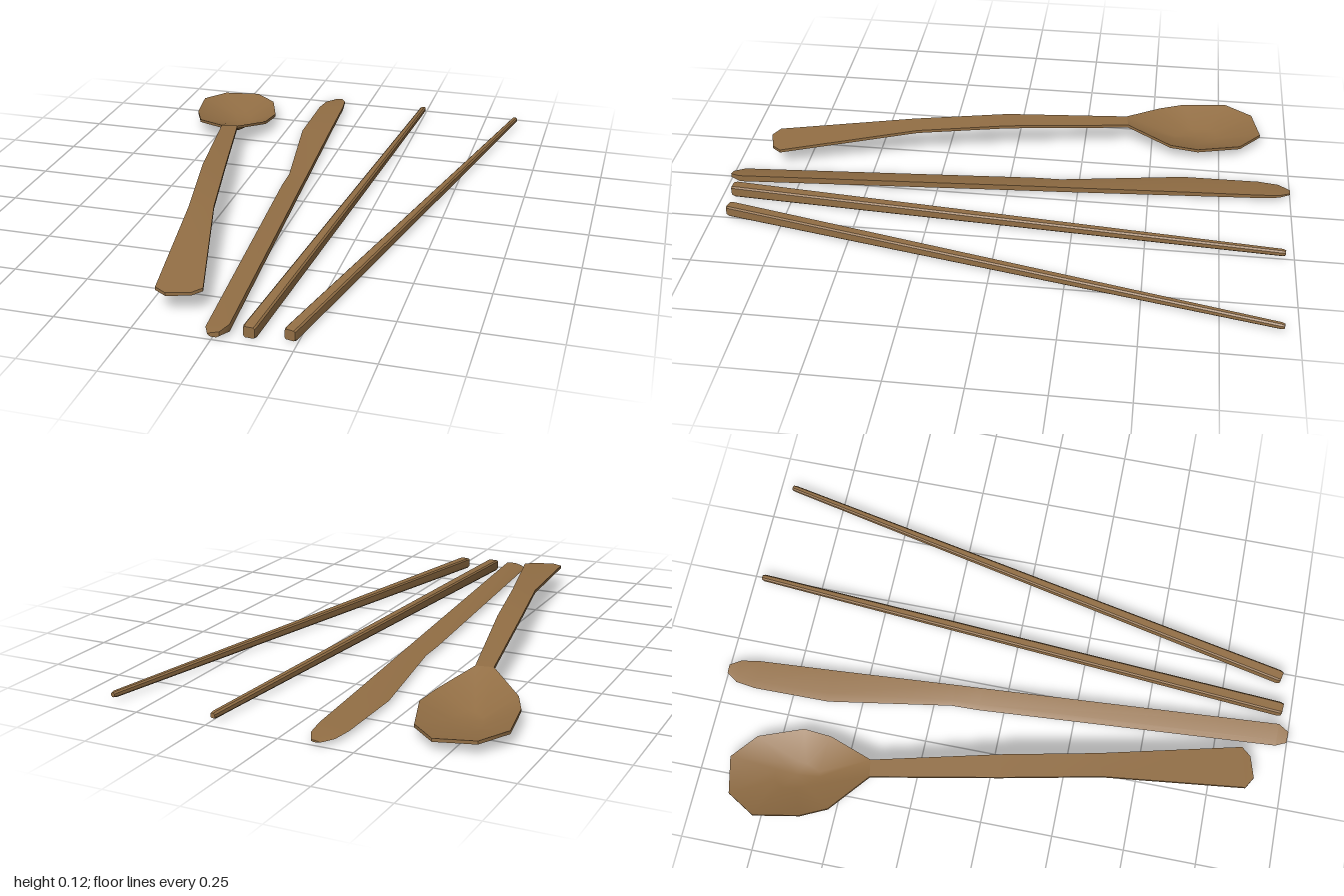
import * as THREE from 'three';
import { toCreasedNormals } from 'three/addons/utils/BufferGeometryUtils.js';

const wood = new THREE.MeshStandardMaterial({ color: 0x936f45 });
wood.name = 'warm wood';

// Skin a row of equal-length rings (counter-clockwise seen from the start) and cap both ends
function loft(name, rings, crease = 0.6) {
  const n = rings[0].length, last = rings.length - 1;
  const pos = rings.flat(2), index = [];
  rings.slice(0, -1).forEach((_, i) => {
    for (let j = 0; j < n; j++) {
      const k = (j + 1) % n;
      const a = i * n + j, b = i * n + k, c = b + n, d = a + n;
      index.push(a, d, c, a, c, b);
    }
  });
  const cap = (ring, base, flip) => {
    const centre = pos.length / 3;
    for (let q = 0; q < 3; q++) pos.push(ring.reduce((s, p) => s + p[q], 0) / n);
    for (let j = 0; j < n; j++) {
      const a = base + j, b = base + (j + 1) % n;
      index.push(centre, flip ? b : a, flip ? a : b);
    }
  };
  cap(rings[0], 0, false);
  cap(rings[last], last * n, true);
  const geo = new THREE.BufferGeometry();
  geo.setAttribute('position', new THREE.Float32BufferAttribute(pos, 3));
  geo.setIndex(index);
  const mesh = new THREE.Mesh(toCreasedNormals(geo, crease), wood);
  mesh.name = name;
  return mesh;
}

// Arched flat handle: left x, left z, right x, right z, top height
function spoonHandle() {
  const thick = 0.011;
  const stations = [
    [-0.18, 0.895, -0.105, 0.873, 0.074],
    [-0.22, 0.872, -0.078, 0.84, 0.076],
    [-0.29, 0.38, -0.21, 0.355, 0.115],
    [-0.362, 0.04, -0.28, 0.03, 0.117],
    [-0.44, -0.4, -0.38, -0.41, 0.092],
  ];
  return loft('spoonHandle', stations.map(([lx, lz, rx, rz, y]) => [
    [rx, y - thick, rz], [rx, y, rz], [lx, y, lz], [lx, y - thick, lz],
  ]));
}

// Faceted bowl shell: outside floor, outside rim, inside rim, inside floor
function spoonBowl() {
  const rim = [
    [-0.45, 0.042, -0.9], [-0.58, 0.045, -0.87], [-0.64, 0.05, -0.77],
    [-0.612, 0.055, -0.61], [-0.57, 0.057, -0.52], [-0.44, 0.092, -0.4],
    [-0.38, 0.092, -0.41], [-0.315, 0.057, -0.57], [-0.305, 0.052, -0.67],
    [-0.36, 0.043, -0.825],
  ].reverse();
  const cx = -0.46, cz = -0.67;
  const floor = (s, y) => rim.map(([x, , z]) => [cx + (x - cx) * s, y, cz + (z - cz) * s]);
  return loft('spoonBowl', [
    floor(0.32, 0),
    rim.map(([x, y, z]) => [x, y - 0.011, z]),
    rim,
    floor(0.32, 0.011),
  ], 0.8);
}

// Knife with a thin left edge and thicker spine: z, left x, right x, bottom, top
function knife() {
  const stations = [
    [0.997, -0.012, 0.025, 0.008, 0.028],
    [0.96, -0.03, 0.045, 0.002, 0.036],
    [-0.09, -0.105, -0.027, 0.002, 0.031],
    [-0.185, -0.107, -0.033, 0.002, 0.03],
    [-0.62, -0.178, -0.063, 0.004, 0.027],
    [-0.89, -0.18, -0.08, 0.007, 0.025],
    [-0.96, -0.17, -0.09, 0.009, 0.022],
    [-1.0, -0.142, -0.112, 0.011, 0.018],
  ];
  return loft('knife', stations.map(([z, l, r, b, t]) => {
    const w = r - l, mid = (b + t) / 2;
    return [
      [r, b + (t - b) * 0.3, z], [r, t, z], [l + w * 0.25, mid + (t - b) * 0.15, z],
      [l, mid - 0.002, z], [l + w * 0.25, b, z], [r - w * 0.25, b, z],
    ];
  }), 0.7);
}

// Tapered stick, square at the grip and octagonal at the tip
function chopstick(name, x0, z0, x1, z1, grip, tip) {
  const len = Math.hypot(x1 - x0, z1 - z0);
  const sx = (z0 - z1) / len, sz = (x1 - x0) / len;
  const stations = [
    [0, grip * 0.85, 0.25], [0.006, grip, 0.25], [0.995, tip, 0.5], [1, tip * 0.75, 0.5],
  ];
  return loft(name, stations.map(([t, h, chamfer]) => {
    const k = 1 - chamfer;
    const corners = [[1, -k], [1, k], [k, 1], [-k, 1], [-1, k], [-1, -k], [-k, -1], [k, -1]];
    return corners.map(([u, v]) => [
      x0 + (x1 - x0) * t + sx * u * h,
      0.021 + v * h,
      z0 + (z1 - z0) * t + sz * u * h,
    ]);
  }));
}

export function createModel() {
  const model = new THREE.Group();
  model.name = 'woodenCutlerySet';

  const spoon = new THREE.Group();
  spoon.name = 'spoon';
  spoon.add(spoonHandle(), spoonBowl());

  model.add(
    spoon,
    knife(),
    chopstick('innerChopstick', 0.106, 0.966, 0.242, -0.97, 0.021, 0.011),
    chopstick('outerChopstick', 0.225, 0.948, 0.622, -0.952, 0.02, 0.01),
  );
  return model;
}
